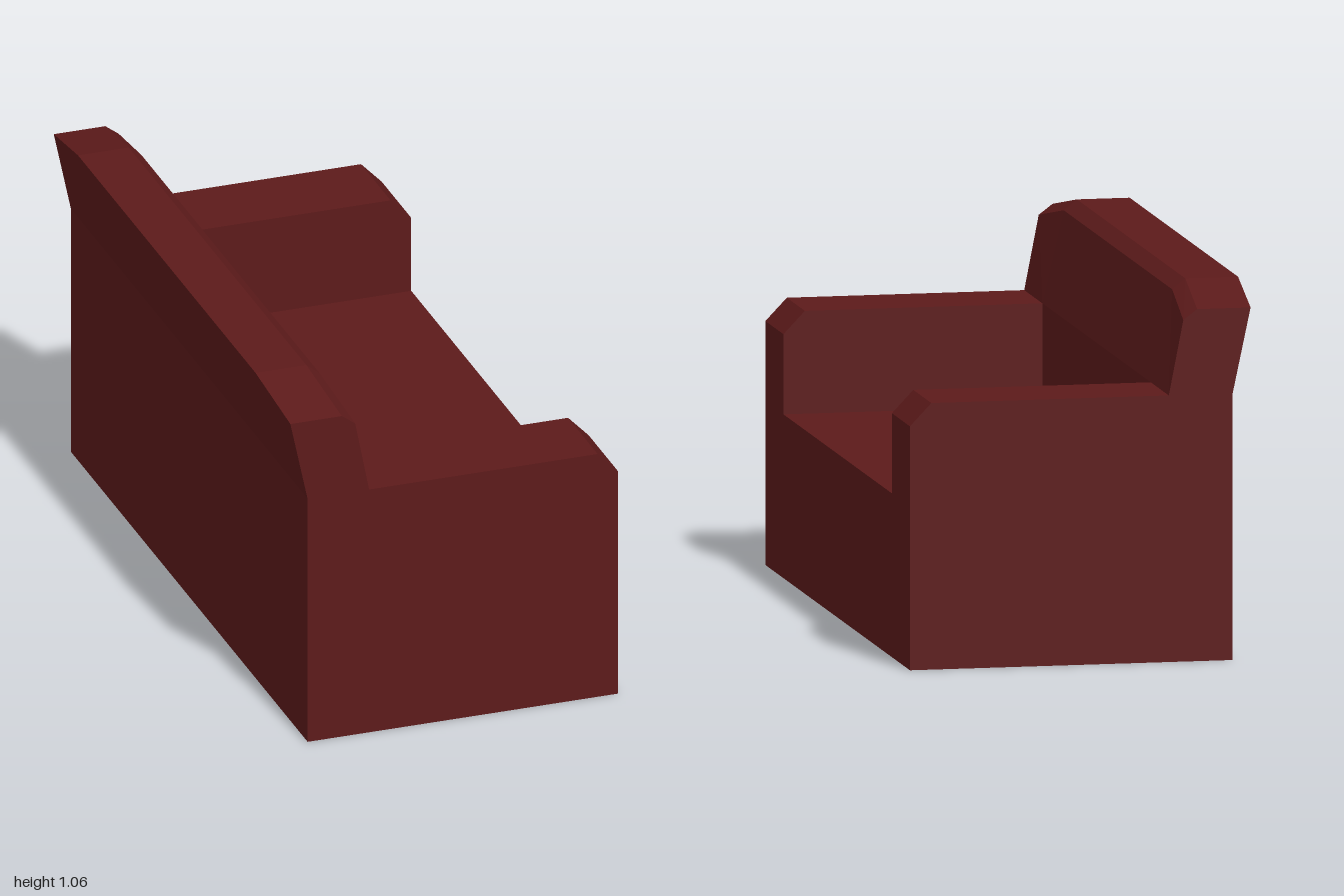
import * as THREE from 'three';

const material = new THREE.MeshStandardMaterial({ color: 0x5c1a1a, flatShading: true });

function addPart(group, name, geometry) {
  const mesh = new THREE.Mesh(geometry, material);
  mesh.name = name;
  group.add(mesh);
  return mesh;
}

// Joins matching counter-clockwise xy sections along z; caps fan from the last point.
function loft(sections) {
  const pos = [];
  const tri = (...pts) => pts.forEach(p => pos.push(...p));
  const rings = sections.map(({ z, points }) => points.map(([x, y]) => [x, y, z]));
  const n = rings[0].length;
  for (let i = 0; i < rings.length - 1; i++) {
    const a = rings[i], b = rings[i + 1];
    for (let j = 0; j < n; j++) {
      const k = (j + 1) % n;
      tri(a[j], a[k], b[k]);
      tri(a[j], b[k], b[j]);
    }
  }
  const first = rings[0], last = rings[rings.length - 1];
  for (let j = 0; j < n - 2; j++) {
    tri(first[n - 1], first[j + 1], first[j]);
    tri(last[n - 1], last[j], last[j + 1]);
  }
  const geometry = new THREE.BufferGeometry();
  geometry.setAttribute('position', new THREE.Float32BufferAttribute(pos, 3));
  geometry.computeVertexNormals();
  return geometry;
}

export function createModel() {
  const sofa = new THREE.Group();
  sofa.name = 'sofa';

  const backX = -0.435, frontX = 0.5, restX = -0.25;
  const seatY = 0.47, armY = 0.765, armInner = 0.75;

  // Solid base, its top forming the seat
  const base = addPart(sofa, 'seatBase', new THREE.BoxGeometry(frontX - backX, seatY, 2));
  base.position.set((frontX + backX) / 2, seatY / 2, 0);

  // Armrests with a bevelled front top edge
  const armShape = new THREE.Shape([
    [restX, seatY], [frontX, seatY], [frontX, 0.7], [0.438, armY], [restX, armY],
  ].map(([x, y]) => new THREE.Vector2(x, y)));
  for (const [name, z] of [['leftArmrest', -1], ['rightArmrest', armInner]]) {
    const geometry = new THREE.ExtrudeGeometry(armShape, { depth: 1 - armInner, bevelEnabled: false });
    addPart(sofa, name, geometry).position.z = z;
  }

  // Leaning backrest: upright below arm height, top dropping at both ends
  const section = (z, top) => ({
    z,
    points: [[backX, seatY], [restX, seatY], [restX, armY], ...top, [backX, armY]],
  });
  const middle = [[-0.312, 1.03], [-0.35, 1.06], [-0.503, 1.06]];
  const end = [[-0.292, 0.98], [-0.332, 1.01], [-0.487, 1.01]];
  addPart(sofa, 'backrest', loft([
    section(-1, end), section(-armInner, middle), section(armInner, middle), section(1, end),
  ]));

  return sofa;
}
